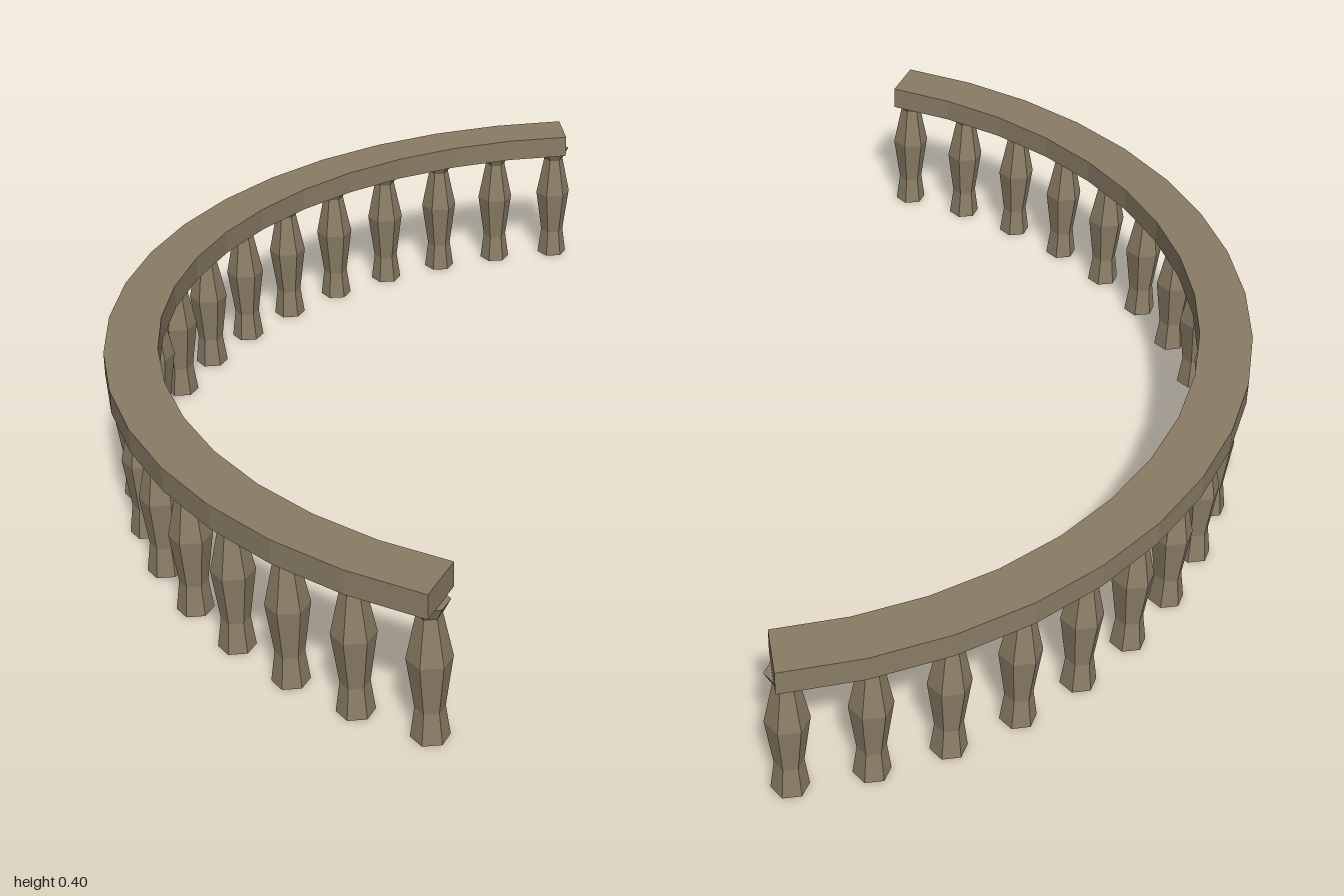
import * as THREE from 'three';

const CENTER = 0.333;            // arc centre lies at (CENTER, -CENTER) in x, z
const OUTER = 1.333, INNER = 1.203;
const RAIL_BOTTOM = 0.34, RAIL_TOP = 0.4;
const RAIL_SEGMENTS = 18, BALUSTERS = 19;

// Point on the arc, angle in degrees from +x towards +z
function arcPoint(radius, degrees) {
  const a = THREE.MathUtils.degToRad(degrees);
  return new THREE.Vector2(CENTER + radius * Math.cos(a), -CENTER + radius * Math.sin(a));
}

export function createModel() {
  const group = new THREE.Group();
  group.name = 'curvedBalustrade';
  const stone = new THREE.MeshStandardMaterial({ color: 0x8b7d66, flatShading: true });

  // Faceted handrail: a 150 degree arc band
  const outline = [];
  for (let i = 0; i <= RAIL_SEGMENTS; i++) outline.push(arcPoint(OUTER, 60 + (150 * i) / RAIL_SEGMENTS));
  for (let i = RAIL_SEGMENTS; i >= 0; i--) outline.push(arcPoint(INNER, 60 + (150 * i) / RAIL_SEGMENTS));
  const railGeometry = new THREE.ExtrudeGeometry(new THREE.Shape(outline), {
    depth: RAIL_TOP - RAIL_BOTTOM, bevelEnabled: false,
  });
  railGeometry.rotateX(Math.PI / 2);
  railGeometry.translate(0, RAIL_TOP, 0);
  const rail = new THREE.Mesh(railGeometry, stone);
  rail.name = 'handrail';
  group.add(rail);

  // Six-sided baluster: flared foot, ankle, belly, neck, flared top
  const profile = [
    [0, 0], [0.043, 0], [0.033, 0.075], [0.05, 0.2], [0.028, 0.308], [0.045, RAIL_BOTTOM], [0, RAIL_BOTTOM],
  ].map(([r, y]) => new THREE.Vector2(r, y));
  const balusterGeometry = new THREE.LatheGeometry(profile, 6, Math.PI / 2);

  // All balusters keep the same orientation along the arc
  for (let i = 0; i < BALUSTERS; i++) {
    const p = arcPoint(1.268, 61.2 + (147.6 * i) / (BALUSTERS - 1));
    const baluster = new THREE.Mesh(balusterGeometry, stone);
    baluster.name = `baluster${i + 1}`;
    baluster.position.set(p.x, 0, p.y);
    group.add(baluster);
  }
  return group;
}
